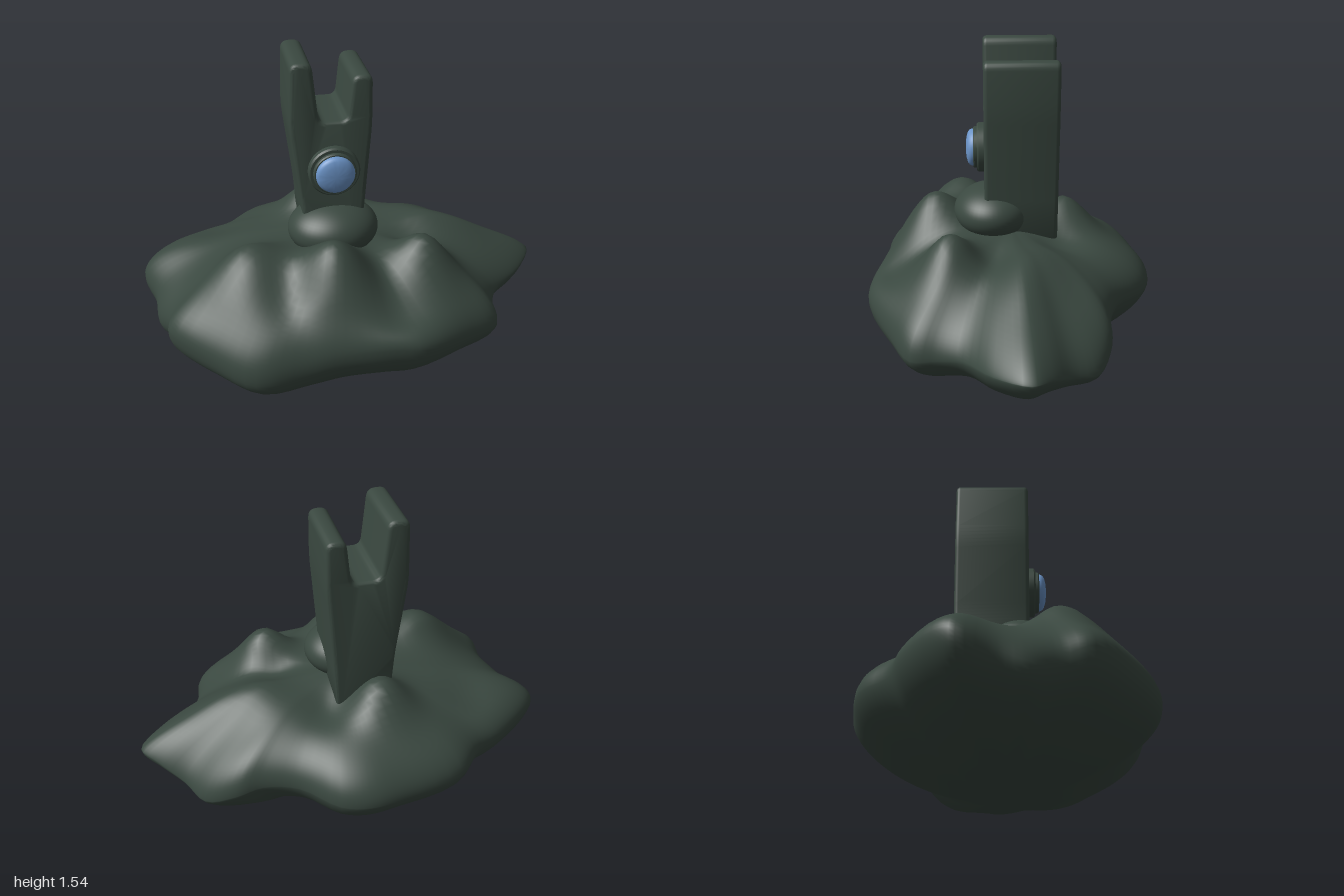
import * as THREE from 'three';
import { toCreasedNormals } from 'three/addons/utils/BufferGeometryUtils.js';

const stone = new THREE.MeshStandardMaterial({ color: 0x3a4840 });
stone.name = 'dark green stone';
const glass = new THREE.MeshStandardMaterial({ color: 0x6c95c9 });
glass.name = 'blue glass';

// Rim of the boulder: x, height, z
const RIM = [
  [1, 0.37, -0.05], [0.9, 0.35, 0.1], [0.73, 0.32, 0.23], [0.68, 0.3, 0.34], [0.66, 0.29, 0.46],
  [0.5, 0.32, 0.56], [0.25, 0.37, 0.68], [0.1, 0.39, 0.68], [-0.12, 0.36, 0.65], [-0.3, 0.31, 0.645],
  [-0.52, 0.28, 0.65], [-0.7, 0.33, 0.53], [-0.88, 0.37, 0.35], [-0.89, 0.32, 0.22], [-0.94, 0.28, 0.1],
  [-0.95, 0.32, -0.02], [-1, 0.37, -0.17], [-0.94, 0.39, -0.26], [-0.74, 0.38, -0.4], [-0.6, 0.37, -0.46],
  [-0.45, 0.36, -0.6], [-0.15, 0.36, -0.67], [0.02, 0.36, -0.69], [0.15, 0.36, -0.65], [0.31, 0.37, -0.5],
  [0.47, 0.36, -0.44], [0.6, 0.32, -0.43], [0.74, 0.26, -0.36], [0.82, 0.29, -0.24], [0.93, 0.35, -0.14],
];
// Peaks and hollows on the boulder: x, z, height, spread
const BUMPS = [
  [-0.12, 0.39, 0.2, 0.12], [-0.5, 0.27, 0.14, 0.13], [0.32, 0.3, 0.15, 0.1], [-0.14, -0.28, 0.13, 0.1],
  [0.08, -0.24, -0.05, 0.09], [0.4, -0.1, 0.05, 0.1], [0.58, -0.06, 0.03, 0.1], [0.3, 0.1, -0.04, 0.08],
  [0.15, 0.55, -0.06, 0.12], [0.12, 0.36, -0.03, 0.08], [-0.32, 0.45, -0.04, 0.08], [-0.6, -0.25, -0.03, 0.1],
];

// Closed surface swept from the top centre, over the rim, to the bottom centre
function boulderGeometry() {
  const SEG = 120, RINGS = 56;
  const curve = new THREE.CatmullRomCurve3(RIM.map((p) => new THREE.Vector3(...p)), true);
  const positions = [], index = [];
  for (let i = 0; i <= RINGS; i++) {
    const phi = (i / RINGS) * Math.PI;
    const t = Math.sin(phi), c = Math.abs(Math.cos(phi));
    for (let j = 0; j < SEG; j++) {
      const p = curve.getPoint(j / SEG);
      const x = p.x * t, z = p.z * t, angle = Math.atan2(p.z, p.x);
      let y;
      if (i < RINGS / 2) {
        // Full shoulders all round, thinning to a wedge at the +x tip
        const wedge = Math.exp(-((angle / 0.4) ** 2));
        y = p.y + (0.645 - p.y) * Math.pow(c, 0.97 + 0.6 * wedge);
        for (const [bx, bz, h, s] of BUMPS) {
          y += h * Math.min(1, c * 1.8) * Math.exp(-((x - bx) ** 2 + (z - bz) ** 2) / (2 * s * s));
        }
      } else {
        // Underside is rounder towards the back and the +x tip
        y = 0.005 + (p.y - 0.005) * (1 - Math.pow(c, 1.15 + 0.25 * Math.cos(angle + Math.PI / 4)));
      }
      positions.push(x, y, z);
    }
  }
  for (let i = 0; i < RINGS; i++) {
    for (let j = 0; j < SEG; j++) {
      const a = i * SEG + j, b = i * SEG + ((j + 1) % SEG);
      index.push(a, b, a + SEG, b, b + SEG, a + SEG);
    }
  }
  const g = new THREE.BufferGeometry();
  g.setAttribute('position', new THREE.Float32BufferAttribute(positions, 3));
  g.setIndex(index);
  g.computeVertexNormals();
  return g;
}

// Polygon with rounded corners; each point is x, y, radius
function roundedShape(points) {
  const shape = new THREE.Shape();
  const n = points.length;
  points.forEach(([x, y, r], i) => {
    const corner = new THREE.Vector2(x, y);
    const toward = (q) => corner.clone().add(new THREE.Vector2(q[0] - x, q[1] - y).setLength(r));
    const a = toward(points[(i + n - 1) % n]), b = toward(points[(i + 1) % n]);
    if (i === 0) shape.moveTo(a.x, a.y);
    else shape.lineTo(a.x, a.y);
    shape.quadraticCurveTo(x, y, b.x, b.y);
  });
  shape.closePath();
  return shape;
}

// Forked pillar, extruded front to back
function pillarGeometry() {
  const shape = roundedShape([
    [-0.205, 0.55, 0.01], [0.055, 0.55, 0.01], [0.077, 0.85, 0.05], [0.107, 1.24, 0.06], [0.106, 1.475, 0.04],
    [0.016, 1.475, 0.04], [-0.008, 1.262, 0.035], [-0.138, 1.262, 0.035], [-0.166, 1.543, 0.04],
    [-0.262, 1.543, 0.04], [-0.272, 1.24, 0.06], [-0.224, 0.85, 0.05],
  ]);
  const b = 0.02;
  const g = new THREE.ExtrudeGeometry(shape, {
    depth: 0.355 - 2 * b, bevelSize: b, bevelThickness: b, bevelOffset: -b, bevelSegments: 4, curveSegments: 6,
  });
  g.translate(0, 0, -0.228 + b);
  return toCreasedNormals(g, 0.6);
}

// Round part turned about the z axis; profile points are radius, z
function turned(profile) {
  const g = new THREE.LatheGeometry(profile.map(([r, z]) => new THREE.Vector2(r, z)), 48);
  g.rotateX(Math.PI / 2);
  return toCreasedNormals(g, 0.6);
}

export function createModel() {
  const model = new THREE.Group();
  model.name = 'forkedPillarOnBoulder';
  const add = (name, geometry, material, x = 0, y = 0, z = 0) => {
    const mesh = new THREE.Mesh(geometry, material);
    mesh.name = name;
    mesh.position.set(x, y, z);
    model.add(mesh);
    return mesh;
  };

  add('boulder', boulderGeometry(), stone);
  add('pillar', pillarGeometry(), stone);
  add('footMound', new THREE.SphereGeometry(1, 48, 32), stone, -0.073, 0.71, 0.085).scale.set(0.217, 0.133, 0.192);

  // Round lens in a stepped bezel
  add('lensBezel', turned([
    [0, 0.1], [0.12, 0.1], [0.12, 0.152], [0.113, 0.16], [0.1, 0.16], [0.1, 0.173], [0.095, 0.178], [0, 0.178],
  ]), stone, -0.075, 1.03, 0);
  add('lens', turned([
    [0.09, 0.17], [0.09, 0.184], [0.085, 0.195], [0.074, 0.203], [0.05, 0.21], [0.025, 0.213], [0, 0.214],
  ]), glass, -0.075, 1.03, 0);
  return model;
}
